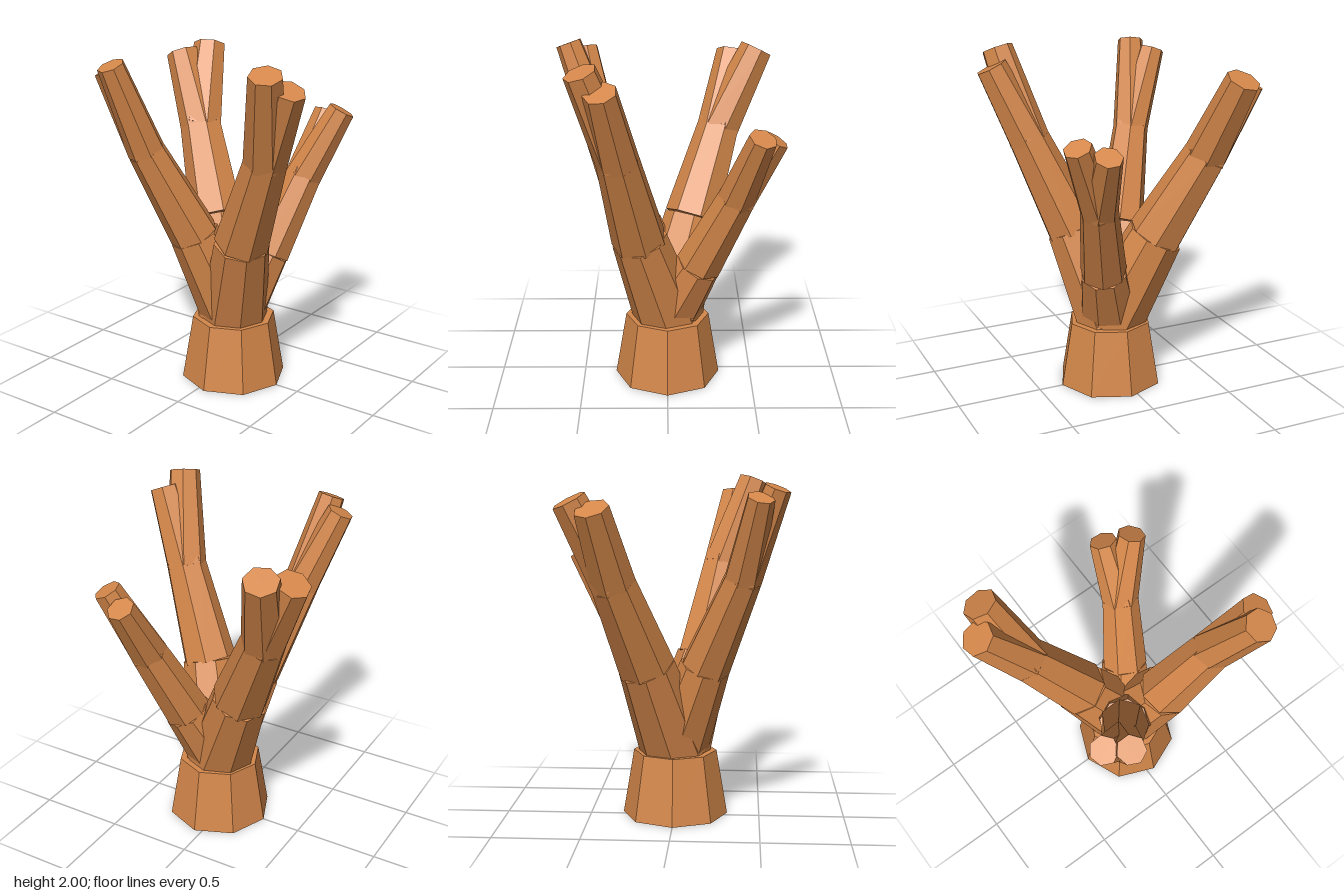
import * as THREE from 'three';

const wood = new THREE.MeshStandardMaterial({ color: 0xd4874a, flatShading: true });
wood.name = 'warm brown wood';

// Tapered, capped segment running from one point to another
function segment(name, from, to, r0, r1, sides) {
  const a = new THREE.Vector3(...from);
  const b = new THREE.Vector3(...to);
  const dir = b.clone().sub(a);
  const mesh = new THREE.Mesh(new THREE.CylinderGeometry(r1, r0, dir.length(), sides), wood);
  mesh.position.copy(a).add(b).multiplyScalar(0.5);
  mesh.quaternion.setFromUnitVectors(new THREE.Vector3(0, 1, 0), dir.normalize());
  mesh.name = name;
  return mesh;
}

// Each branch: two joints, two tips, and radii along the way
const branches = [
  { name: 'frontLeftBranch', joints: [[0.21, 0.92, 0.16], [0.43, 1.45, 0.265]],
    tips: [[0.545, 1.967, 0.45], [0.62, 1.88, 0.345]], radii: [0.205, 0.16, 0.122, 0.092] },
  { name: 'frontRightBranch', joints: [[-0.105, 0.91, 0.18], [-0.275, 1.43, 0.39]],
    tips: [[-0.36, 1.935, 0.575], [-0.46, 1.885, 0.485]], radii: [0.19, 0.145, 0.108, 0.077] },
  { name: 'backRightBranch', joints: [[-0.18, 0.92, -0.15], [-0.41, 1.41, -0.31]],
    tips: [[-0.505, 1.87, -0.535], [-0.615, 1.83, -0.4]], radii: [0.21, 0.165, 0.128, 0.098] },
  { name: 'backLeftBranch', joints: [[0.165, 0.755, -0.18], [0.28, 1.19, -0.38]],
    tips: [[0.455, 1.59, -0.505], [0.315, 1.545, -0.585]], radii: [0.18, 0.135, 0.108, 0.079] },
];

export function createModel() {
  const model = new THREE.Group();
  model.name = 'branchingStump';

  // Eight-sided trunk
  const crown = [0.045, 0.385, 0];
  model.add(segment('trunk', [0.045, 0, 0], crown, 0.31, 0.245, 8));

  // Four limbs, each forking into a pair of tips
  for (const { name, joints: [elbow, fork], tips, radii: [r0, r1, r2, r3] } of branches) {
    const limb = new THREE.Group();
    limb.name = name;
    limb.add(segment('lowerLimb', crown, elbow, r0, r1, 8));
    limb.add(segment('upperLimb', elbow, fork, r1, r2, 7));
    for (const tip of tips) limb.add(segment('tip', fork, tip, r2, r3, 7));
    model.add(limb);
  }
  return model;
}
